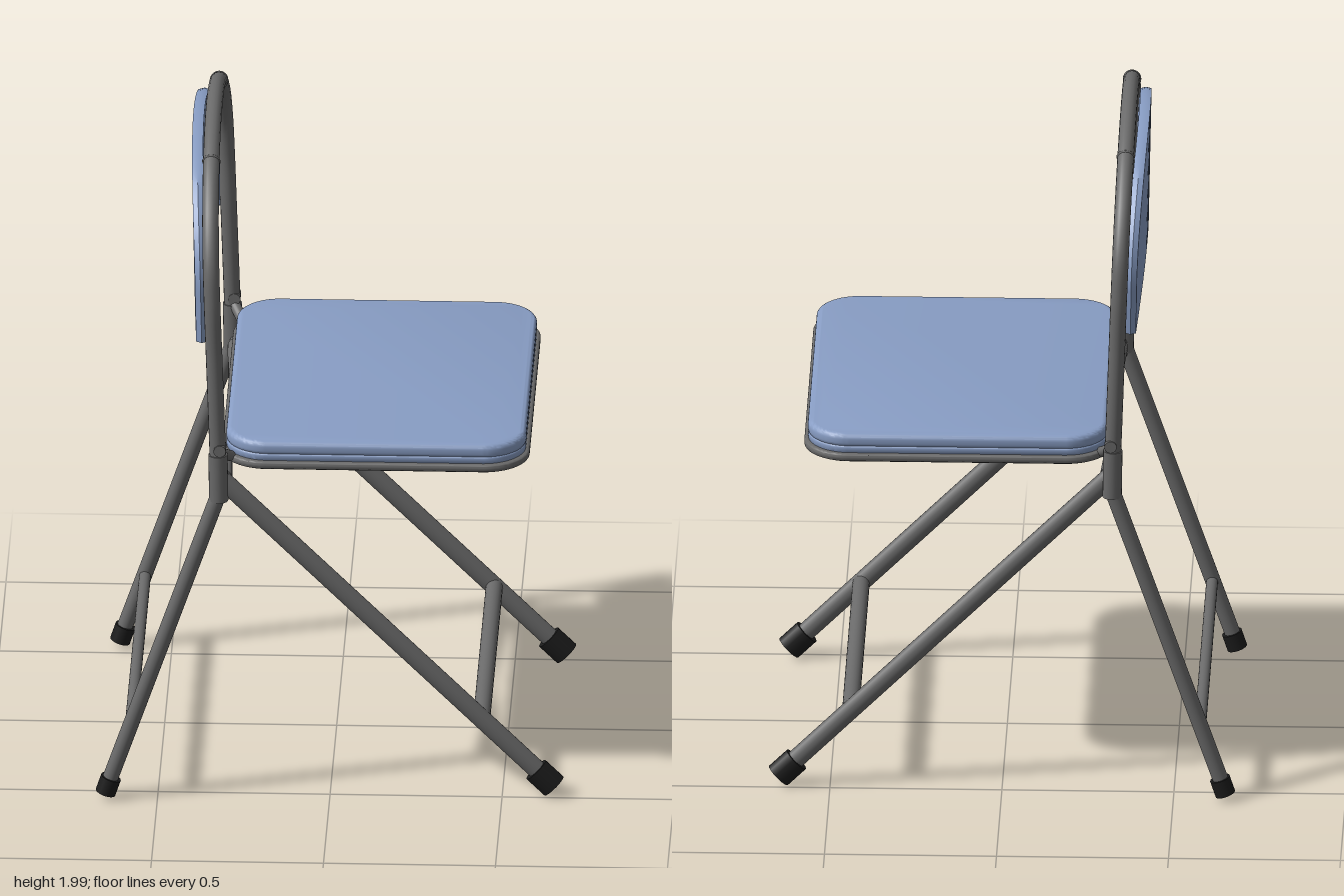
import * as THREE from 'three';
import { toCreasedNormals } from 'three/addons/utils/BufferGeometryUtils.js';

const V = (x, y, z) => new THREE.Vector3(x, y, z);
const paint = (color) => new THREE.MeshStandardMaterial({ color });

export function createModel() {
  const chair = new THREE.Group();
  const steel = paint(0x6a6a6a), rubber = paint(0x1c1c1c);
  const fabric = paint(0x889dc4), board = paint(0x505050);

  const add = (name, geometry, material) => {
    const mesh = new THREE.Mesh(geometry, material);
    mesh.name = name;
    chair.add(mesh);
    return mesh;
  };

  // Straight round bar from a to b; squash narrows it sideways along z
  const rod = (name, a, b, r, material = steel, squash = 1) => {
    const dir = b.clone().sub(a);
    const mesh = add(name, new THREE.CylinderGeometry(r, r, dir.length(), 20), material);
    mesh.position.copy(a).add(b).multiplyScalar(0.5);
    mesh.quaternion.setFromUnitVectors(V(0, 1, 0), dir.normalize());
    mesh.scale.z = squash;
  };

  // Rounded slab lying flat between heights y0 and y1
  const slab = (name, x0, x1, halfZ, y0, y1, radius, bevel, material) => {
    const s = new THREE.Shape();
    const a = x0 + bevel, b = x1 - bevel, h = halfZ - bevel, r = radius - bevel;
    s.moveTo(a + r, -h);
    s.lineTo(b - r, -h);
    s.absarc(b - r, -h + r, r, -Math.PI / 2, 0);
    s.absarc(b - r, h - r, r, 0, Math.PI / 2);
    s.absarc(a + r, h - r, r, Math.PI / 2, Math.PI);
    s.absarc(a + r, -h + r, r, Math.PI, Math.PI * 1.5);
    const g = new THREE.ExtrudeGeometry(s, {
      depth: y1 - y0 - 2 * bevel, bevelEnabled: bevel > 0, bevelSize: bevel,
      bevelThickness: bevel, bevelSegments: 4, curveSegments: 12,
    });
    g.rotateX(-Math.PI / 2);
    g.translate(0, y0 + bevel, 0);
    add(name, toCreasedNormals(g, 0.7), material);
  };

  // Seat: dark board, metal rim, lower band and padded cushion
  slab('seatBoard', -0.305, 0.565, 0.53, 1.047, 1.06, 0.12, 0, board);
  slab('seatRim', -0.317, 0.577, 0.542, 1.05, 1.073, 0.13, 0.008, steel);
  slab('seatBand', -0.305, 0.566, 0.528, 1.068, 1.095, 0.125, 0.008, fabric);
  slab('seatCushion', -0.305, 0.567, 0.528, 1.086, 1.13, 0.125, 0.016, fabric);

  // Back hoop: two uprights joined by an arch, leaning slightly backwards
  const lean = (y) => -0.32 - 0.035 * (y - 0.97);
  const half = [[0.55, 0.97], [0.55, 1.2], [0.55, 1.4], [0.55, 1.58], [0.532, 1.69],
    [0.47, 1.795], [0.385, 1.868], [0.29, 1.92], [0.15, 1.962]];
  const hoop = [...half, [0, 1.975], ...half.map(([z, y]) => [-z, y]).reverse()];
  const path = new THREE.CatmullRomCurve3(hoop.map(([z, y]) => V(lean(y), y, z)));
  add('backHoop', new THREE.TubeGeometry(path, 120, 0.024, 16), steel);

  // Backrest: a box bent into a curved fan-shaped pad, its width along z
  const pad = new THREE.BoxGeometry(2, 2, 2, 40, 10, 2);
  const p = pad.attributes.position;
  for (let i = 0; i < p.count; i++) {
    const layer = p.getZ(i);
    const inset = layer === 0 ? 1 : 0.985;
    const u = Math.sin(p.getX(i) * Math.PI / 2);
    const v = (p.getY(i) * inset + 1) / 2;
    const top = 1.6 + 0.355 * Math.sqrt(Math.max(0, 1 - u * u));
    const bottom = 1.533 - 0.095 * u * u;
    const y = bottom + (top - bottom) * v;
    // one lower corner is drawn in a little
    const z = 0.518 * u * inset + 0.033 * (1 - v) * Math.max(0, -u) ** 3;
    const x = -0.395 + 0.017 * u * u - 0.02 * (y - 1.7) - 0.016 * layer;
    p.setXYZ(i, x, y, z);
  }
  add('backrest', toCreasedNormals(pad, 0.6), fabric);

  for (const s of [1, -1]) {
    // Collars where the arch pieces join
    const collar = add('hoopCollar', new THREE.TorusGeometry(0.022, 0.005, 8, 20), steel);
    collar.position.set(lean(1.917), 1.917, s * 0.295);
    collar.rotation.x = s * 0.4;

    // Hinge sleeve and pivots
    rod('hingeSleeve', V(-0.322, 0.955, s * 0.55), V(-0.324, 1.1, s * 0.55), 0.028);
    rod('seatPivot', V(-0.318, 1.12, s * 0.578), V(-0.318, 1.12, s * 0.525), 0.018);
    rod('seatLink', V(-0.318, 1.1, s * 0.54), V(-0.29, 1.068, s * 0.485), 0.016);
    rod('legPivot', V(-0.315, 0.99, s * 0.56), V(-0.315, 0.99, s * 0.46), 0.016);

    // Rear leg and foot
    rod('rearLeg', V(-0.32, 0.98, s * 0.55), V(-0.64, 0.06, s * 0.55), 0.023);
    rod('rearFoot', V(-0.635, 0.071, s * 0.55), V(-0.651, 0.023, s * 0.55), 0.03, rubber);

    // Front leg and foot
    rod('frontLeg', V(-0.315, 0.99, s * 0.48), V(0.615, 0.071, s * 0.48), 0.028, steel, 0.78);
    rod('frontFoot', V(0.598, 0.085, s * 0.48), V(0.65, 0.034, s * 0.48), 0.04, rubber, 0.72);
  }

  // Cross bars
  rod('rearCrossBar', V(-0.578, 0.235, -0.55), V(-0.578, 0.235, 0.55), 0.017);
  rod('frontCrossBar', V(0.44, 0.245, -0.48), V(0.44, 0.245, 0.48), 0.025);

  // Upper bar between the front legs, pinched at its middle
  const waist = [[0, -0.48], [0.026, -0.48], [0.003, 0], [0.026, 0.48], [0, 0.48]];
  const bar = new THREE.LatheGeometry(waist.map(([r, y]) => new THREE.Vector2(r, y)), 16);
  bar.rotateX(Math.PI / 2);
  bar.translate(-0.31, 0.993, 0);
  add('pinchedBar', toCreasedNormals(bar, 0.6), steel);

  return chair;
}
